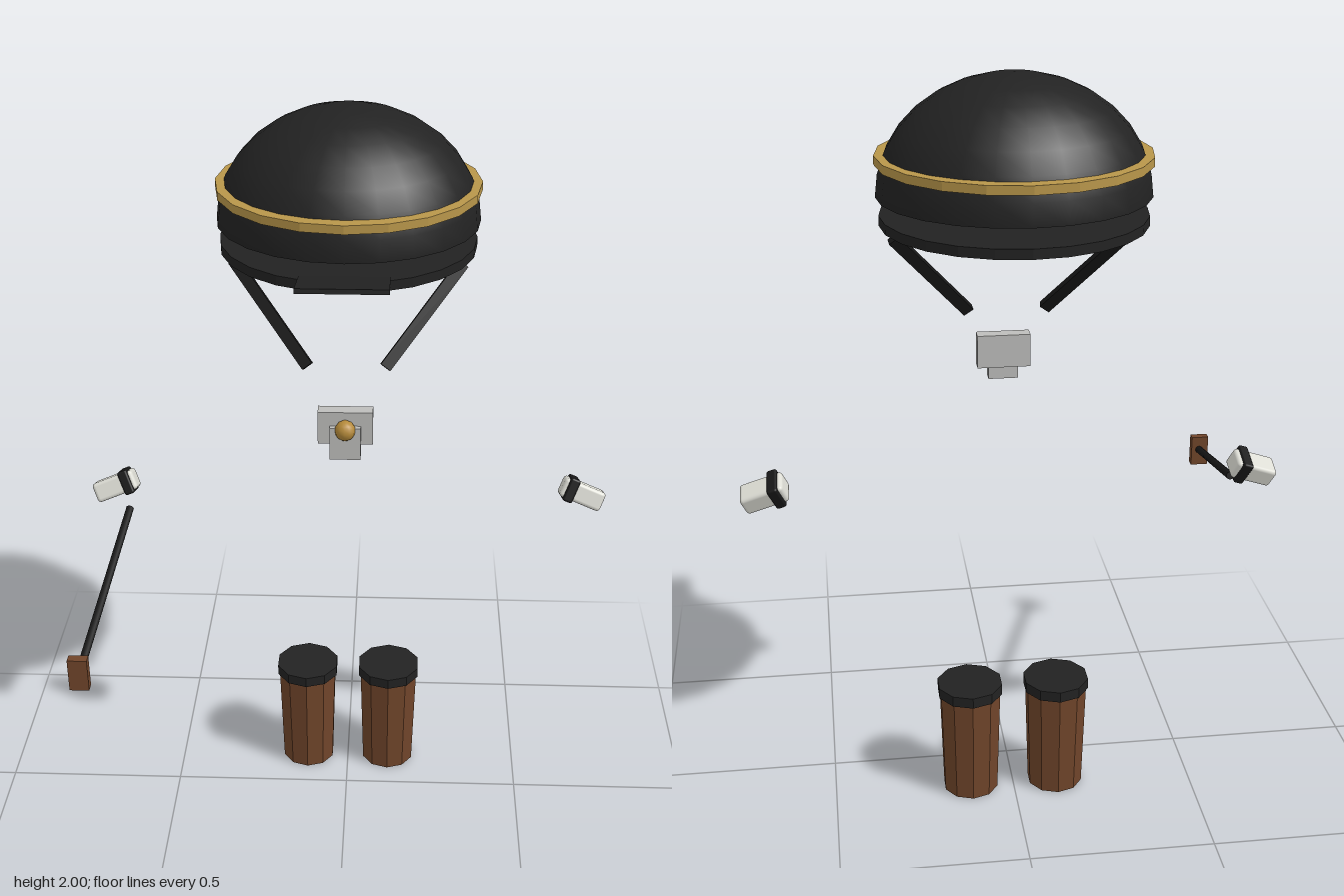
import * as THREE from 'three';
import { RoundedBoxGeometry } from 'three/addons/geometries/RoundedBoxGeometry.js';

const mat = (name, color, opts = {}) => {
  const m = new THREE.MeshStandardMaterial({ color, ...opts });
  m.name = name;
  return m;
};

export function createModel() {
  const black = mat('black felt', 0x222222, { side: THREE.DoubleSide });
  const strapBlack = mat('strap black', 0x171717);
  const trimBlack = mat('trim black', 0x222222, { flatShading: true });
  const gold = mat('gold trim', 0xb8964a, { flatShading: true });
  const brass = mat('brass', 0xb58a3a);
  const white = mat('glove white', 0xdcdcd4);
  const silver = mat('silver grey', 0xbdbdbb);
  const brown = mat('brown leather', 0x70452a, { flatShading: true });

  const root = new THREE.Group();
  root.name = 'floatingOutfit';

  const add = (parent, name, geo, material, x = 0, y = 0, z = 0) => {
    const mesh = new THREE.Mesh(geo, material);
    mesh.name = name;
    mesh.position.set(x, y, z);
    parent.add(mesh);
    return mesh;
  };

  // A part whose y axis runs from point a to point b
  const between = (parent, name, a, b, makeGeo, material) => {
    const p = new THREE.Vector3(...a);
    const q = new THREE.Vector3(...b);
    const dir = q.clone().sub(p);
    const mid = p.clone().add(q).multiplyScalar(0.5);
    const mesh = add(parent, name, makeGeo(dir.length()), material, mid.x, mid.y, mid.z);
    mesh.quaternion.setFromUnitVectors(new THREE.Vector3(0, 1, 0), dir.normalize());
    return mesh;
  };

  // Cap: open dome, gold band, base disc and tilted visor
  const cap = new THREE.Group();
  cap.name = 'cap';
  cap.position.z = -0.152;
  root.add(cap);
  const dome = add(cap, 'capDome',
    new THREE.SphereGeometry(1, 24, 8, 0, Math.PI * 2, 0, Math.PI / 2), black, 0, 1.71, 0);
  dome.scale.set(0.337, 0.29, 0.322);
  add(cap, 'capGoldBand', new THREE.CylinderGeometry(0.338, 0.338, 0.022, 20), gold, 0, 1.8, 0);
  add(cap, 'capBase', new THREE.CylinderGeometry(0.33, 0.33, 0.025, 24), trimBlack, 0, 1.652, 0);
  const visor = add(root, 'visor', new THREE.BoxGeometry(0.222, 0.012, 0.18), trimBlack, 0, 1.675, 0.212);
  visor.rotation.x = -0.2;

  // Collar plates with a brass button
  const collar = new THREE.Group();
  collar.name = 'collar';
  root.add(collar);
  add(collar, 'collarPlate', new THREE.BoxGeometry(0.142, 0.09, 0.038), silver, 0, 1.23, 0.067);
  add(collar, 'collarTab', new THREE.BoxGeometry(0.08, 0.09, 0.036), silver, 0, 1.192, 0.083);
  add(collar, 'collarButton', new THREE.SphereGeometry(0.027, 12, 8), brass, 0, 1.23, 0.098);

  for (const side of [1, -1]) {
    const label = side > 0 ? 'left' : 'right';

    // Slanting strap
    between(root, label + 'Strap', [side * 0.1, 1.365, 0.002], [side * 0.295, 1.6, -0.13],
      (len) => new THREE.BoxGeometry(0.03, len, 0.02), strapBlack);

    // Glove with a dark cuff
    const glove = new THREE.Group();
    glove.name = label + 'Glove';
    glove.position.set(side * 0.646, 0.933, -0.125);
    glove.rotation.set(-0.35, 0, -side * 0.38);
    root.add(glove);
    add(glove, label + 'GloveHand', new RoundedBoxGeometry(0.12, 0.055, 0.066, 2, 0.01), white);
    add(glove, label + 'GloveCuff', new RoundedBoxGeometry(0.028, 0.068, 0.082, 2, 0.006),
      strapBlack, -side * 0.034, 0, 0);

    // Tapered boot with a dark top
    const boot = new THREE.Group();
    boot.name = label + 'Boot';
    boot.position.set(side * 0.12, 0, -0.142);
    root.add(boot);
    add(boot, label + 'BootShaft', new THREE.CylinderGeometry(0.086, 0.077, 0.31, 10), brown, 0, 0.155, 0);
    add(boot, label + 'BootCuff', new THREE.CylinderGeometry(0.091, 0.091, 0.03, 10), trimBlack, 0, 0.32, 0);
  }

  // Stick with a brown end block, held out in front of the right glove
  const stick = new THREE.Group();
  stick.name = 'stick';
  root.add(stick);
  between(stick, 'stickShaft', [-0.604, 0.888, -0.075], [-0.656, 0.728, 0.47],
    (len) => new THREE.CylinderGeometry(0.011, 0.011, len, 8), strapBlack);
  add(stick, 'stickBlock', new THREE.BoxGeometry(0.05, 0.09, 0.025), brown, -0.658, 0.725, 0.476);

  return root;
}
